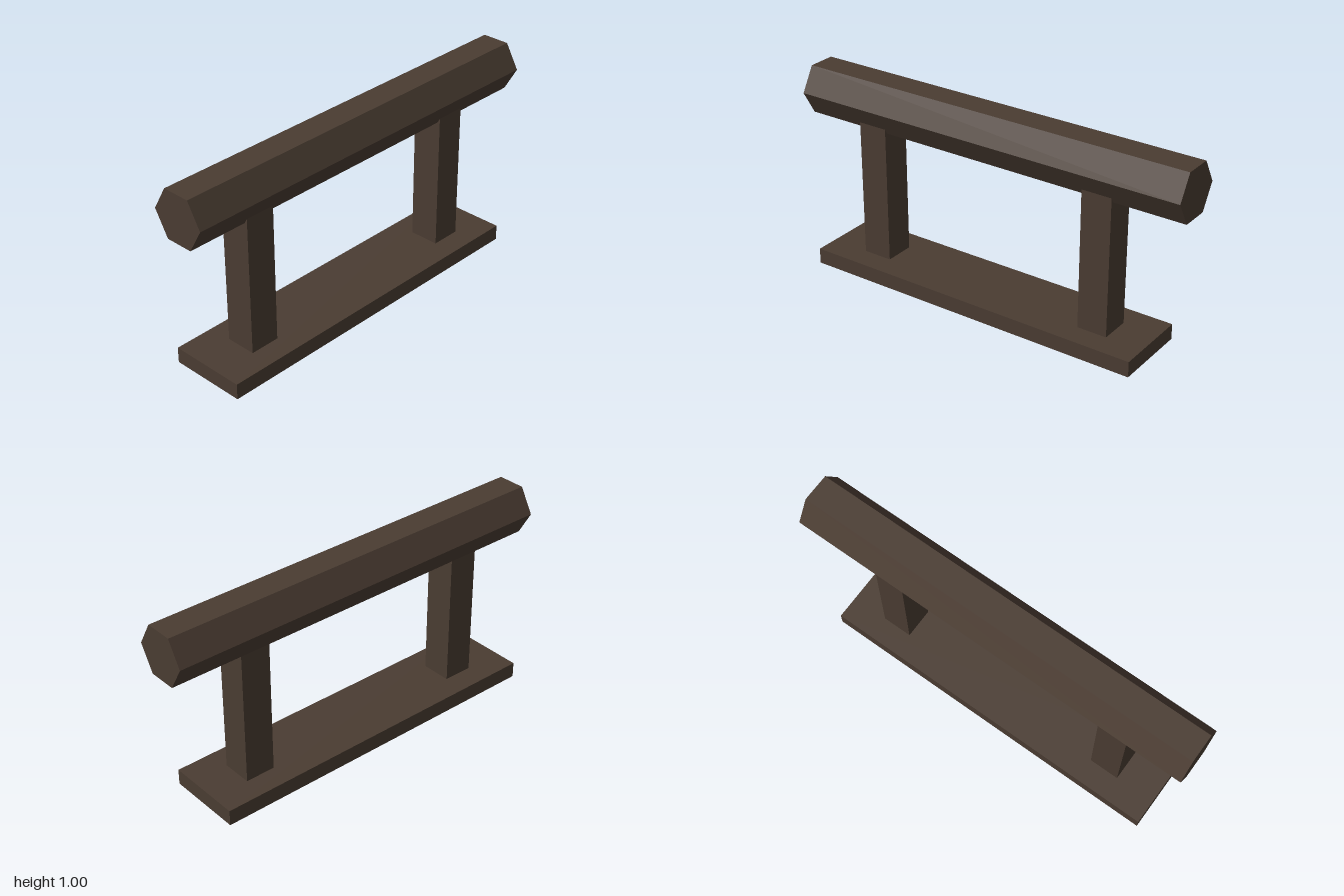
import * as THREE from 'three';

export function createModel() {
  const group = new THREE.Group();
  const wood = new THREE.MeshStandardMaterial({ color: 0x4a3c32, flatShading: true });

  const add = (name, geometry, x, y, z) => {
    const mesh = new THREE.Mesh(geometry, wood);
    mesh.name = name;
    mesh.position.set(x, y, z);
    group.add(mesh);
    return mesh;
  };

  // Hexagonal beam lying along x, flat faces at top and bottom
  const beam = new THREE.CylinderGeometry(0.136, 0.136, 2, 6).rotateZ(Math.PI / 2);
  add('topBeam', beam, 0, 0.882, -0.006);

  // Square posts, sunk into the beam and poking out under the plank
  const postHeight = 0.84;
  for (const [name, x] of [['rightPost', -0.632], ['leftPost', 0.579]]) {
    add(name, new THREE.BoxGeometry(0.148, postHeight, 0.15), x, postHeight / 2, 0.001);
  }

  // Base plank, slightly off centre
  add('basePlank', new THREE.BoxGeometry(1.738, 0.077, 0.377), -0.034, 0.071, 0);

  return group;
}
